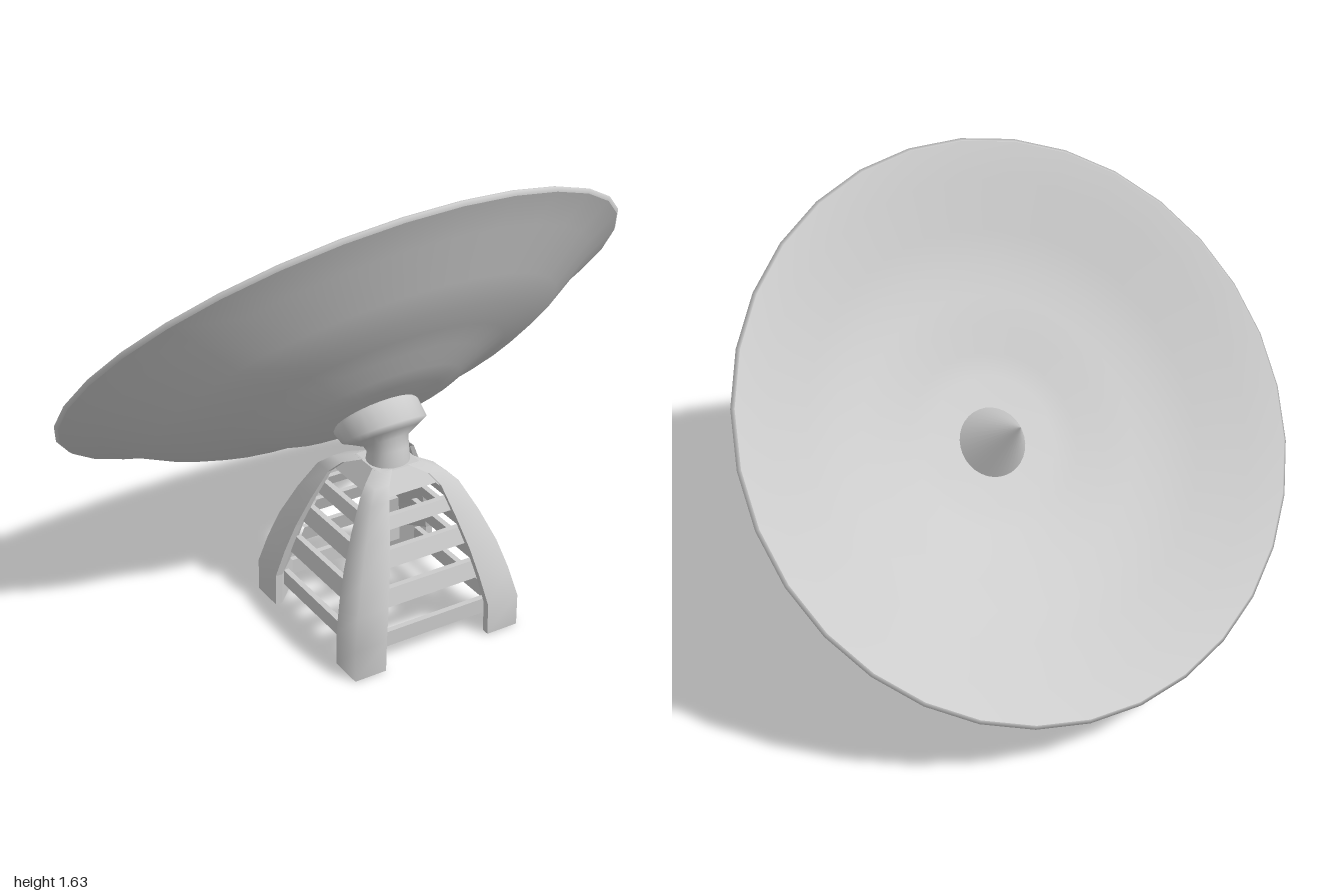
import * as THREE from 'three';
import { mergeVertices } from 'three/addons/utils/BufferGeometryUtils.js';

const grey = new THREE.MeshStandardMaterial({ color: 0xcccccc });
const greyThin = new THREE.MeshStandardMaterial({ color: 0xcccccc, side: THREE.DoubleSide });

// Skin over rows of points; rows run upwards, points run to the right seen from outside
function skin(rows) {
  const n = rows[0].length, index = [];
  for (let i = 0; i < rows.length - 1; i++) {
    for (let j = 0; j < n - 1; j++) {
      const a = i * n + j, b = a + 1, c = a + n, d = c + 1;
      index.push(a, b, d, a, d, c);
    }
  }
  let g = new THREE.BufferGeometry();
  g.setAttribute('position', new THREE.Float32BufferAttribute(rows.flat(2), 3));
  g.setIndex(index);
  g = mergeVertices(g, 1e-5);
  g.computeVertexNormals();
  return g;
}

function flat(g) {
  const f = g.toNonIndexed();
  f.computeVertexNormals();
  return f;
}

function add(parent, name, geometry, material = grey) {
  const mesh = new THREE.Mesh(geometry, material);
  mesh.name = name;
  parent.add(mesh);
  return mesh;
}

// Leg profile: height, outer half width, inner half width of the tower
const legProfile = [
  [0, 0.317, 0.2], [0.115, 0.317, 0.198], [0.22, 0.292, 0.177], [0.32, 0.262, 0.155],
  [0.43, 0.217, 0.127], [0.53, 0.168, 0.1], [0.565, 0.13, 0.075], [0.583, 0.075, 0.03],
];

function profileAt(y) {
  const i = Math.max(1, legProfile.findIndex((p) => p[0] >= y));
  const [p, q] = [legProfile[i - 1], legProfile[i]];
  const t = (y - p[0]) / (q[0] - p[0]);
  return [p[1] + (q[1] - p[1]) * t, p[2] + (q[2] - p[2]) * t];
}

function createTower() {
  const tower = new THREE.Group();
  tower.name = 'tower';
  const mid = (a, b) => b + 0.78 * (a - b);

  // Corner leg: smooth outer faces, flat chamfered inner faces
  const outer = skin(legProfile.map(([y, a, b]) => [[b, y, a], [a, y, a], [a, y, b]]));
  const inner = flat(skin(legProfile.map(([y, a, b]) => {
    const m = mid(a, b);
    return [[a, y, b], [m, y, b], [b, y, m], [b, y, a]];
  })));
  const [, A, B] = legProfile[0];
  const M = mid(A, B);
  const sole = new THREE.ShapeGeometry(new THREE.Shape(
    [[B, A], [A, A], [A, B], [M, B], [B, M]].map(([x, y]) => new THREE.Vector2(x, y))));
  sole.rotateX(Math.PI / 2);

  for (let k = 0; k < 4; k++) {
    const side = new THREE.Group();
    side.name = 'towerSide';
    side.rotation.y = k * Math.PI / 2;
    add(side, 'legOuter', outer);
    add(side, 'legInner', inner);
    add(side, 'legSole', sole);

    // Sloping rungs between neighbouring legs
    for (const [y0, y1] of [[0.06, 0.115], [0.195, 0.255], [0.32, 0.375], [0.435, 0.475]]) {
      const row = (y, inset) => {
        const [a, b] = profileAt(y);
        const z = b + 0.65 * (a - b) - inset, w = b + 0.02;
        return [[-w, y, z], [w, y, z]];
      };
      const loop = [row(y0, 0.02), row(y0, 0), row(y1, 0), row(y1, 0.02), row(y0, 0.02)];
      add(side, 'rung', flat(skin(loop)));
    }
    tower.add(side);
  }

  // Top plate joining the legs
  const plate = new THREE.CylinderGeometry(0.08 * Math.SQRT2, 0.125 * Math.SQRT2, 0.065, 4);
  plate.rotateY(Math.PI / 4);
  add(tower, 'topPlate', flat(plate)).position.y = 0.549;
  tower.position.z = 0.303;
  return tower;
}

// Elbow between tower and dish: each ring is front (z, y), back (z, y) and half width
function createMount() {
  const rings = [
    [0.376, 0.575, 0.232, 0.575, 0.075],
    [0.37, 0.64, 0.236, 0.597, 0.07],
    [0.352, 0.68, 0.23, 0.602, 0.078],
    [0.372, 0.722, 0.2, 0.597, 0.115],
    [0.39, 0.76, 0.172, 0.59, 0.148],
    [0.33, 0.812, 0.125, 0.592, 0.15],
    [0.27, 0.81, 0.12, 0.65, 0.11],
  ];
  const rows = rings.map(([z0, y0, z1, y1, w]) => Array.from({ length: 25 }, (_, j) => {
    const t = (j % 24) / 24 * Math.PI * 2, c = Math.cos(t);
    return [w * Math.sin(t), (y0 + y1 + c * (y0 - y1)) / 2, (z0 + z1 + c * (z0 - z1)) / 2];
  }));
  return skin(rows);
}

function createDish() {
  const dish = new THREE.Group();
  dish.name = 'dish';
  const lathe = (pts) => new THREE.LatheGeometry(pts.map(([r, d]) => new THREE.Vector2(r, d)), 32);

  add(dish, 'dishBack', lathe([
    [0, -0.302], [0.14, -0.3], [0.24, -0.292], [0.32, -0.274], [0.405, -0.242],
    [0.5, -0.217], [0.6, -0.193], [0.715, -0.148], [0.87, -0.06], [0.99, -0.012],
  ]), greyThin);
  add(dish, 'dishRim', lathe([[0.99, -0.012], [1, 0], [0.988, 0.008]]), greyThin);
  add(dish, 'dishFace', lathe([
    [0.988, 0.008], [0.87, -0.04], [0.715, -0.122], [0.6, -0.168], [0.5, -0.194],
    [0.4, -0.218], [0.31, -0.25], [0.23, -0.268], [0, -0.276],
  ]), greyThin);

  // Feed cone in the middle of the bowl
  add(dish, 'feedCone', new THREE.ConeGeometry(0.125, 0.25, 32)).position.y = -0.153;

  dish.rotation.x = -0.803;
  dish.position.y = 0.912;
  return dish;
}

export function createModel() {
  const model = new THREE.Group();
  model.name = 'dishAntenna';
  model.add(createTower());
  add(model, 'mount', createMount(), greyThin);
  model.add(createDish());
  return model;
}
